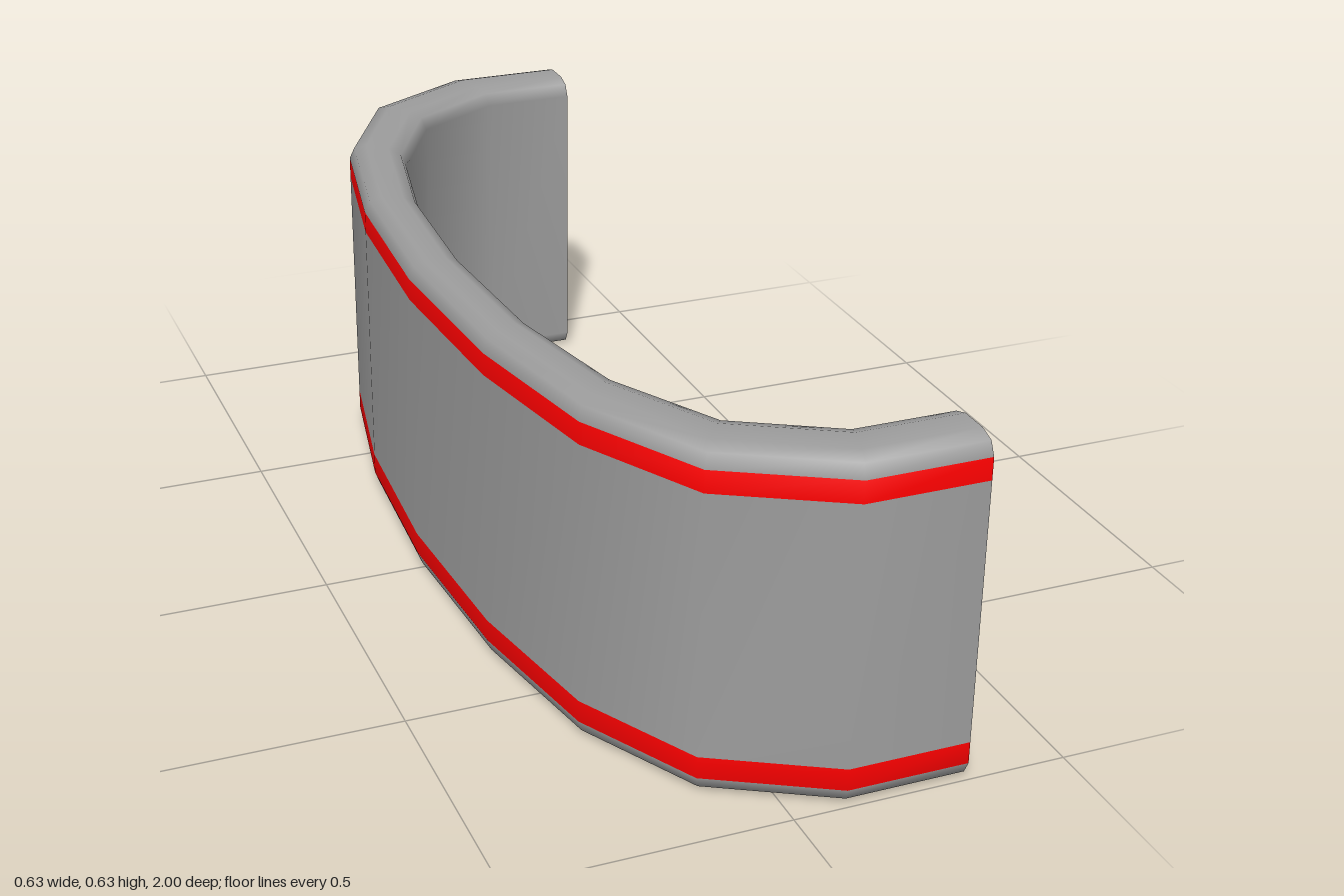
import * as THREE from 'three';

// Half of the plan outline: [outer x, outer z, inner x, inner z], from the tip to the middle
const HALF = [
  [0.317, 1.0, 0.317, 0.865],
  [0.095, 1.0, 0.135, 0.865],
  [-0.12, 0.88, -0.04, 0.765],
  [-0.24, 0.655, -0.147, 0.565],
  [-0.298, 0.35, -0.2, 0.305],
  [-0.318, 0, -0.217, 0],
];
const STATIONS = [...HALF, ...HALF.slice(0, -1).reverse().map(([a, b, c, d]) => [a, -b, c, -d])];

const HEIGHT = 0.633;
// Hollow cross-section: [fraction from outer to inner wall, height]
const LOWER = [[0, 0.074], [0, 0.033], [0.09, 0.009], [0.3, 0]];
const UPPER = LOWER.map(([t, y]) => [t, HEIGHT - y]);
const mirrorT = ([t, y]) => [1 - t, y];
const SECTION = [
  ...LOWER.slice(0, 2).reverse(),
  ...UPPER,
  ...UPPER.slice(1).reverse().map(mirrorT),
  ...LOWER.slice(1).map(mirrorT),
  ...LOWER.slice(2).reverse(),
];
const N = SECTION.length;
const ALL_EDGES = [...Array(N).keys()];

// Index of the strips that follow the chosen section edges around the arc
function stripIndex(edges) {
  const index = [];
  for (let i = 0; i < STATIONS.length - 1; i++) {
    for (const j of edges) {
      const k = (j + 1) % N;
      const a = i * N + j, b = i * N + k, c = a + N, d = b + N;
      index.push(a, b, c, b, d, c);
    }
  }
  return index;
}

export function createModel() {
  const group = new THREE.Group();
  group.name = 'curvedBand';

  const positions = [];
  for (const [ox, oz, ix, iz] of STATIONS) {
    for (const [t, y] of SECTION) {
      positions.push(ox + (ix - ox) * t, y, oz + (iz - oz) * t);
    }
  }

  // Smooth normals are taken over the whole skin, so shading runs on across the stripes
  const skin = new THREE.BufferGeometry();
  skin.setAttribute('position', new THREE.Float32BufferAttribute(positions, 3));
  skin.setIndex(stripIndex(ALL_EDGES));
  skin.computeVertexNormals();

  const addPart = (name, color, edges) => {
    const geometry = skin.clone();
    geometry.setIndex(stripIndex(edges));
    const material = new THREE.MeshStandardMaterial({ color, side: THREE.DoubleSide });
    const mesh = new THREE.Mesh(geometry, material);
    mesh.name = name;
    group.add(mesh);
  };

  // Edges 0 and 2 are the stripes on the outer wall, all others the grey shell
  addPart('shell', 0x9d9d9d, ALL_EDGES.filter((j) => j !== 0 && j !== 2));
  addPart('lowerStripe', 0xff0000, [0]);
  addPart('upperStripe', 0xff0000, [2]);
  return group;
}
